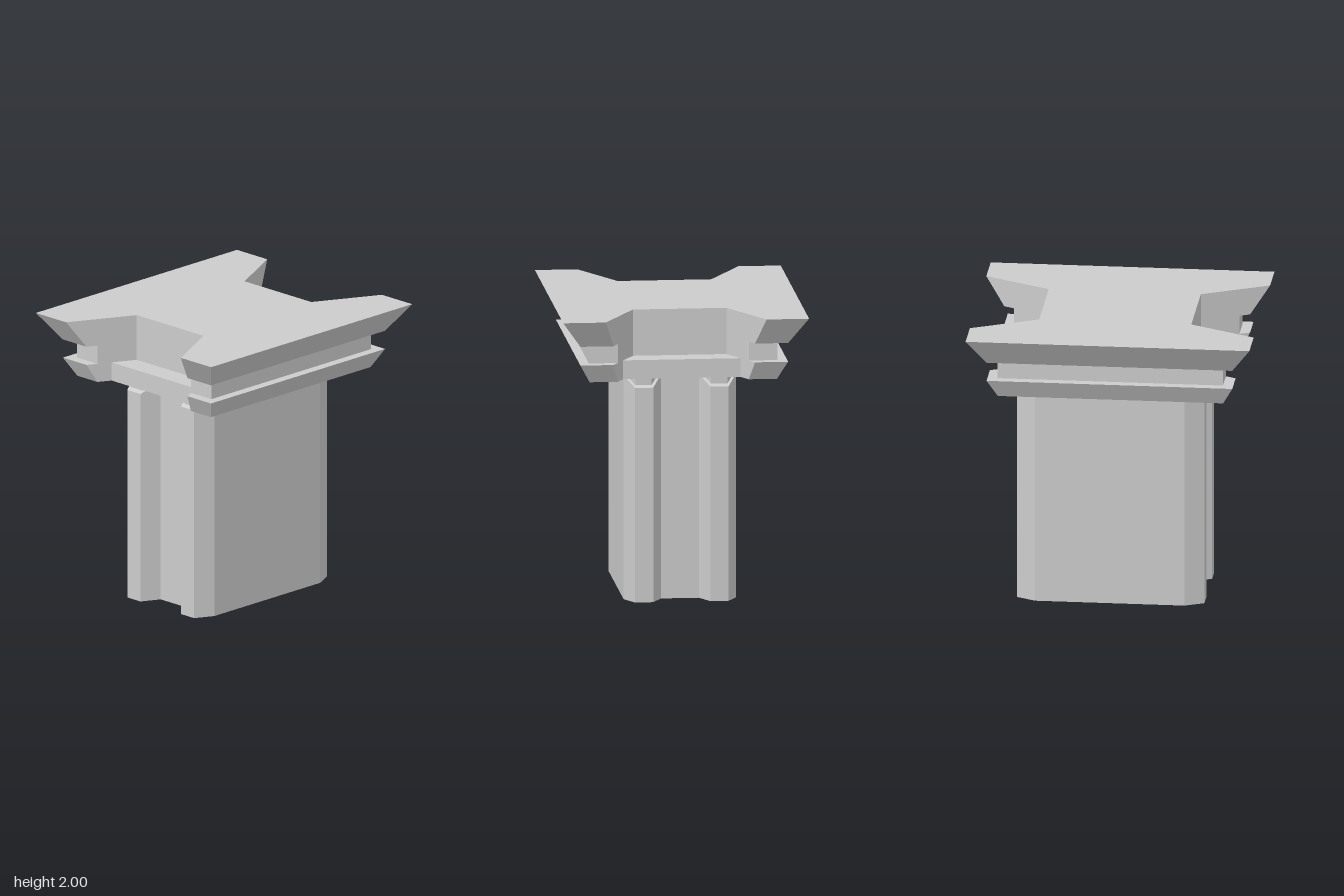
import * as THREE from 'three';

const solid = new THREE.MeshStandardMaterial({ color: 0xcccccc, flatShading: true });
const sheet = new THREE.MeshStandardMaterial({ color: 0xcccccc, flatShading: true, side: THREE.DoubleSide });

// Triangles filling a ring of [x, y, z] points (anticlockwise from above), facing up
function fill(ring) {
  const flat = ring.map(([x, , z]) => new THREE.Vector2(x, -z));
  return THREE.ShapeUtils.triangulateShape(flat, []).flat().map(i => ring[i]);
}

// Wall between two rings with equal point counts
function wall(low, high) {
  return low.flatMap((a, i) => {
    const j = (i + 1) % low.length;
    return [a, low[j], high[j], a, high[j], high[i]];
  });
}

function makeMesh(name, corners, material) {
  const geometry = new THREE.BufferGeometry();
  geometry.setAttribute('position', new THREE.Float32BufferAttribute(corners.flat(), 3));
  geometry.computeVertexNormals();
  const mesh = new THREE.Mesh(geometry, material);
  mesh.name = name;
  return mesh;
}

// Completes a front half outline by turning it half a circle
const bothEnds = half => [...half, ...half.map(([x, z]) => [-x, -z])];
const atHeight = (outline, y) => outline.map(([x, z]) => [x, y, z]);

// H-shaped plan: half width w, half depth d, end notch reaching in to z = floor
function capOutline(w, d, floor) {
  const notchX = z => 0.32 + (z - 0.52) * 0.511;
  const xo = notchX(d), xi = notchX(floor);
  return bothEnds([[-w, d], [-xo, d], [-xi, floor], [xi, floor], [xo, d], [w, d]]);
}

function capTier(name, y0, y1, [w0, d0], [w1, d1], floor) {
  const low = atHeight(capOutline(w0, d0, floor), y0);
  const high = atHeight(capOutline(w1, d1, floor), y1);
  return makeMesh(name, [...wall(low, high), ...fill(high), ...fill(low).reverse()], solid);
}

export function createModel() {
  const model = new THREE.Group();
  model.name = 'pillar';

  // Capital: flared slab, recessed neck, flared collar with shallower notches
  const capital = new THREE.Group();
  capital.name = 'capital';
  capital.add(
    capTier('topSlab', 1.81, 2, [0.71, 0.84], [0.84, 0.97], 0.52),
    capTier('neck', 1.68, 1.81, [0.645, 0.77], [0.645, 0.77], 0.52),
    capTier('collar', 1.55, 1.68, [0.64, 0.77], [0.71, 0.84], 0.68),
  );
  model.add(capital);

  // Shaft: hollow, open below, with two chamfered ribs at each end
  const shaft = new THREE.Group();
  shaft.name = 'shaft';
  shaft.position.z = -0.03;
  const rib = [[-0.385, 0.51], [-0.32, 0.64], [-0.195, 0.64], [-0.13, 0.51]];
  const mirror = points => points.map(([x, z]) => [-x, z]).reverse();
  const outline = bothEnds([...rib, ...mirror(rib)]);
  const ribTop = ([x, z]) => [x, Math.abs(z) > 0.6 ? 1.485 : 1.55, z];
  shaft.add(makeMesh('shaftWall', wall(atHeight(outline, 0), outline.map(ribTop)), sheet));

  // Sloping rib tops, each carrying a small block under the capital
  const block = [[-0.365, 0.51], [-0.315, 0.61], [-0.203, 0.61], [-0.15, 0.51]];
  const blockFoot = ([x, z]) => [x, Math.abs(z) > 0.6 ? 1.5 : 1.55, z];
  const turn = points => points.map(([x, z]) => [-x, -z]);
  for (const place of [p => p, mirror, turn, p => turn(mirror(p))]) {
    shaft.add(makeMesh('ribTop', fill(place(rib).map(ribTop)), sheet));
    const b = place(block);
    shaft.add(makeMesh('ribBlock', wall(b.map(blockFoot), atHeight(b, 1.55)), sheet));
  }
  model.add(shaft);
  return model;
}
